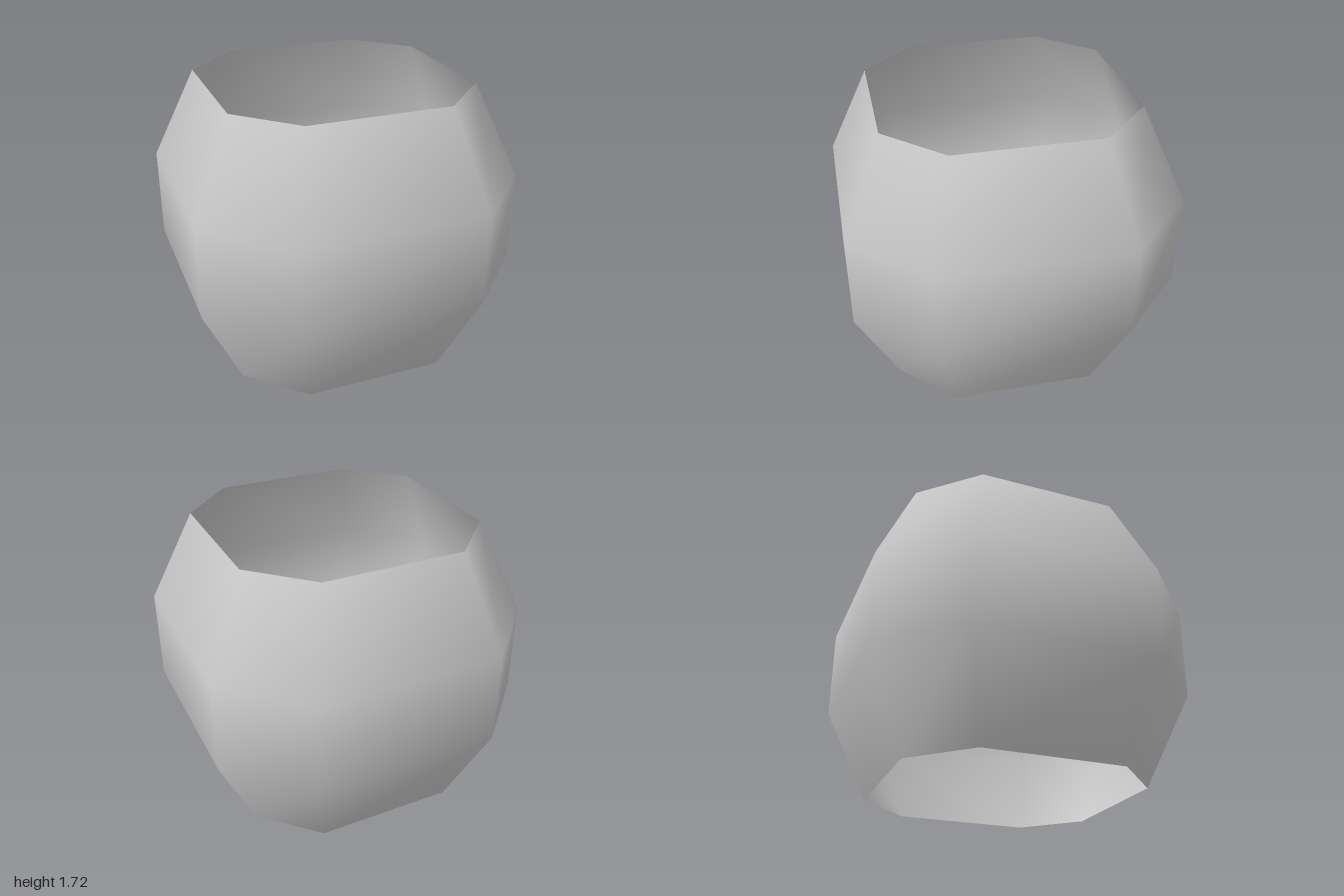
import * as THREE from 'three';

export function createModel() {
  const group = new THREE.Group();
  const grey = new THREE.MeshStandardMaterial({ color: 0xcccccc, side: THREE.DoubleSide });
  grey.name = 'light grey';

  // Eight-sided outline, from +x round towards +z
  const c = 0.57;
  const outline = [[1, -c], [1, c], [c, 1], [-c, 1], [-1, c], [-1, -c], [-c, -1], [c, -1]];
  // Height and scale of each ring
  const rings = [[0, 0.75], [0.575, 1], [1.145, 1], [1.72, 0.75]];

  const positions = [], indices = [];
  const n = outline.length;
  rings.forEach(([y, s], r) => {
    outline.forEach(([x, z], i) => {
      positions.push(x * s, y, z * s);
      if (r === rings.length - 1) return;
      const a = r * n + i, b = r * n + (i + 1) % n;
      indices.push(a, a + n, b, b, a + n, b + n);
    });
  });

  // Open shell with shared vertices for smooth shading
  const geometry = new THREE.BufferGeometry();
  geometry.setAttribute('position', new THREE.Float32BufferAttribute(positions, 3));
  geometry.setIndex(indices);
  geometry.computeVertexNormals();

  const shell = new THREE.Mesh(geometry, grey);
  shell.name = 'openShell';
  group.add(shell);
  return group;
}
